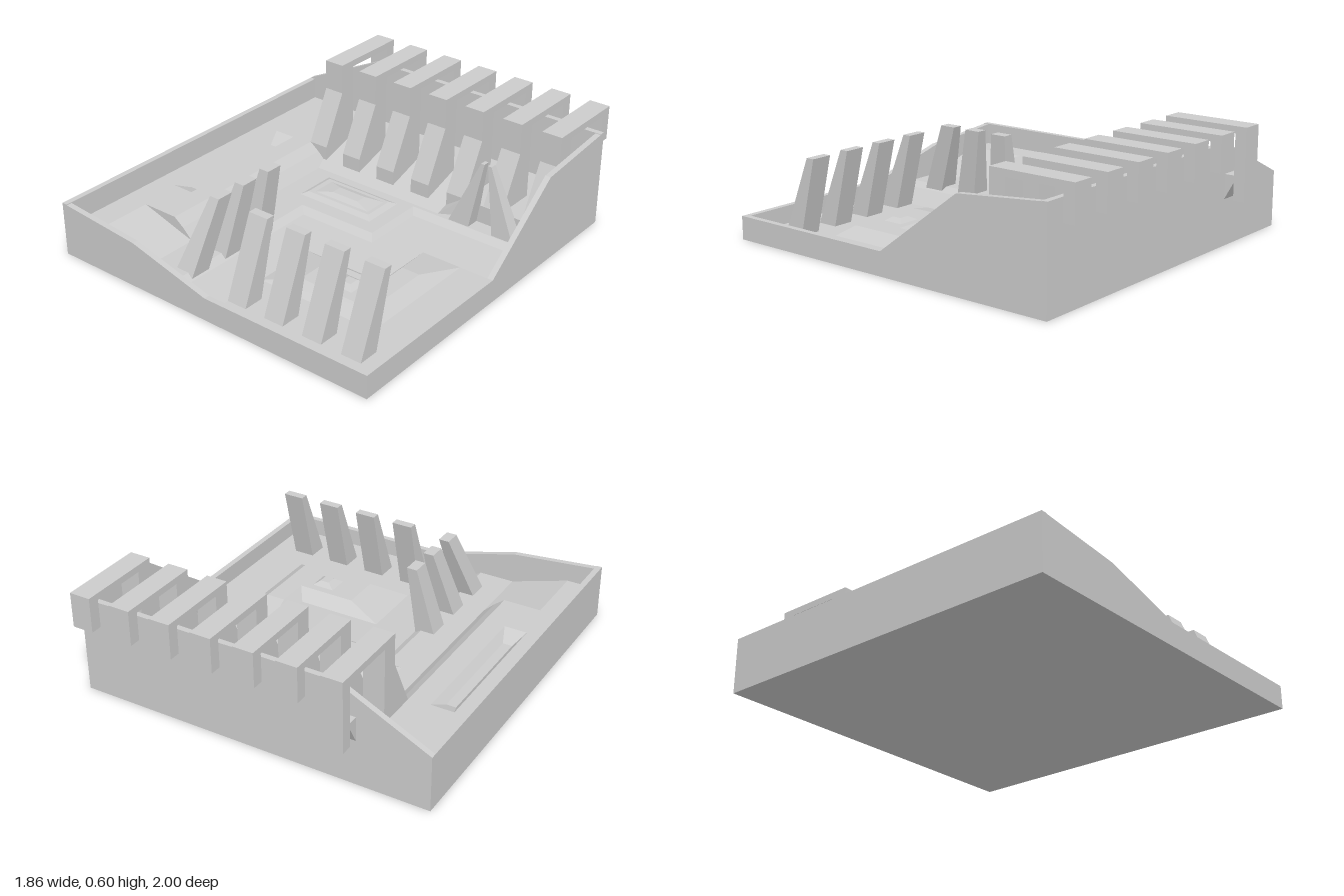
import * as THREE from 'three';

const mat = new THREE.MeshStandardMaterial({ color: 0xcccccc, flatShading: true });

function add(group, name, geo) {
  const mesh = new THREE.Mesh(geo, mat);
  mesh.name = name;
  group.add(mesh);
}

// Solid between two [x, z] outlines at heights y0 and y1
function loft(bottom, y0, top, y1) {
  const n = bottom.length;
  const b = bottom.map(([x, z]) => [x, y0, z]), t = top.map(([x, z]) => [x, y1, z]);
  const flat = r => r.map(p => new THREE.Vector2(p[0], -p[2]));
  if (THREE.ShapeUtils.area(flat(b)) < 0) { b.reverse(); t.reverse(); }
  const index = [];
  for (const [i, j, k] of THREE.ShapeUtils.triangulateShape(flat(t), [])) index.push(n + i, n + j, n + k);
  for (const [i, j, k] of THREE.ShapeUtils.triangulateShape(flat(b), [])) index.push(k, j, i);
  for (let i = 0; i < n; i++) {
    const j = (i + 1) % n;
    index.push(i, j, n + j, i, n + j, n + i);
  }
  const g = new THREE.BufferGeometry();
  g.setAttribute('position', new THREE.Float32BufferAttribute([...b, ...t].flat(), 3));
  g.setIndex(index);
  const out = g.toNonIndexed();
  out.computeVertexNormals();
  return out;
}

const rect = (x0, x1, z0, z1) => [[x0, z0], [x1, z0], [x1, z1], [x0, z1]];

const shapeOf = pts => new THREE.Shape(pts.map(p => new THREE.Vector2(...p)));

// [x, y] profile pushed from z0 to z1
function alongZ(pts, z0, z1) {
  return new THREE.ExtrudeGeometry(shapeOf(pts), { depth: z1 - z0, bevelEnabled: false }).translate(0, 0, z0);
}

// [z, y] profile pushed from x0 to x1
function alongX(pts, x0, x1) {
  return new THREE.ExtrudeGeometry(shapeOf(pts), { depth: x1 - x0, bevelEnabled: false })
    .rotateY(-Math.PI / 2).translate(x1, 0, 0);
}

export function createModel() {
  const model = new THREE.Group();
  model.name = 'terrainTray';
  // Heights of the plateau, groove floor, terrace, step and basin floor
  const high = 0.17, groove = 0.13, mid = 0.075, step = 0.05, low = 0.03;

  // Base slab and rim walls
  add(model, 'base', loft(rect(-0.93, 0.93, -0.89, 1), 0, rect(-0.93, 0.93, -0.89, 1), low));
  add(model, 'leftRim', alongX([[-0.89, 0], [1, 0], [1, 0.285], [-0.89, 0.285]], -0.93, -0.9));
  add(model, 'rightRim', alongX([[-0.89, 0], [1, 0], [1, 0.12], [0.06, 0.12], [-0.4, 0.465], [-0.89, 0.51]], 0.9, 0.93));
  add(model, 'frontRim', alongZ([[-0.93, 0], [0.93, 0], [0.93, 0.12], [0, 0.12], [-0.45, 0.24], [-0.93, 0.285]], 0.97, 1));
  add(model, 'backRim', alongZ([[-0.93, 0], [0.93, 0], [0.93, 0.51], [-0.46, 0.51], [-0.93, 0.285]], -0.89, -0.86));

  // Stepped terraces around the low basin
  const steps = (x0, z0, x1, z1) => [
    [-0.91, 0.98], [x0, 0.98], [x0, z0], [x1, z0], [x1, z1], [0.91, z1], [0.91, -0.87], [-0.91, -0.87]];
  add(model, 'basinSlope', loft(steps(0, 0.28, 0.45, -0.06), low, steps(-0.22, 0.05, 0.22, -0.29), step));
  add(model, 'terrace', loft(steps(-0.22, 0.05, 0.22, -0.29), step, steps(-0.26, 0.01, 0.19, -0.33), mid));

  // Angular mounds
  add(model, 'basinMound', loft(
    [[0, 0.28], [0.45, 0.28], [0.45, -0.06], [0.67, -0.06], [0.67, 0.62], [0, 0.62]], low,
    [[0.19, 0.35], [0.5, 0.35], [0.5, 0.18], [0.6, 0.18], [0.6, 0.55], [0.19, 0.55]], 0.08));
  add(model, 'smallMound', loft(rect(0.33, 0.45, 0.39, 0.5), 0.08, rect(0.37, 0.42, 0.42, 0.47), 0.1));
  add(model, 'terraceMound', loft(rect(-0.34, 0.11, -0.3, -0.07), mid, rect(-0.31, 0.08, -0.27, -0.1), mid + 0.015));
  add(model, 'terraceMoundTop', loft(rect(-0.28, 0.06, -0.25, -0.12), mid + 0.015, rect(-0.19, -0.03, -0.21, -0.15), mid + 0.03));

  // Left plateau: a slab, four pieces around a sloped groove, and a ramp at the front
  const slabTop = rect(-0.91, -0.507, -0.87, 0.62), outerTop = rect(-0.91, -0.56, -0.87, 0.62);
  const grooveFloor = rect(-0.755, -0.705, -0.31, 0.3), grooveTop = rect(-0.79, -0.67, -0.4, 0.39);
  add(model, 'leftPlateauSlab', loft(rect(-0.91, -0.45, -0.87, 0.62), mid, slabTop, groove));
  for (let i = 0; i < 4; i++) {
    const j = (i + 1) % 4;
    add(model, 'leftPlateau', loft(
      [slabTop[i], slabTop[j], grooveFloor[j], grooveFloor[i]], groove,
      [outerTop[i], outerTop[j], grooveTop[j], grooveTop[i]], high));
  }
  add(model, 'frontRamp', alongZ([[-0.91, low], [-0.45, low], [-0.45, mid], [-0.76, high], [-0.91, high]], 0.62, 0.98));

  // Back plateau: gentle slope on the left part, a sheer step on the right part
  add(model, 'backSlope', alongX([[-0.87, low], [-0.35, low], [-0.35, mid], [-0.65, high], [-0.87, high]], -0.56, 0.33));
  add(model, 'backStep', loft(
    [[0.33, -0.35], [0.44, -0.41], [0.91, -0.41], [0.91, -0.87], [0.33, -0.87]], mid,
    [[0.33, -0.65], [0.44, -0.41], [0.91, -0.41], [0.91, -0.87], [0.33, -0.87]], high));

  // Row of hooked ribs reaching over the back rim
  for (let i = 0; i < 7; i++) {
    const x = -0.56 + i * 0.2233, end = i === 0 ? 0.235 : 0.42;
    add(model, 'rib', alongX([
      [-1, end], [-0.94, end], [-0.94, 0.565], [-0.64, 0.565], [-0.64, 0.06], [-0.415, 0.06],
      [-0.415, high], [-0.55, 0.44], [-0.55, 0.6], [-1, 0.6]], x, x + 0.11));
  }
  add(model, 'ribBrace', alongX([[-0.89, 0.235], [-0.89, 0.36], [-0.94, 0.36], [-0.94, 0.325]], -0.56, -0.45));

  // Front row of spikes leaning back
  for (let i = 0; i < 4; i++) {
    const x = i * 0.2233;
    add(model, 'frontSpike', loft(rect(x, x + 0.11, 0.74, 0.85), low, rect(x, x + 0.11, 0.64, 0.685), 0.43));
  }

  // Side row of spikes leaning inward, fanning out toward the front
  [[0.28, 0.395, 0.255], [0.505, 0.62, 0.43], [0.735, 0.85, 0.6]].forEach(([z0, z1, zt]) => {
    add(model, 'sideSpike', loft(rect(-0.34, -0.23, z0, z1), 0.05, rect(-0.24, -0.185, zt, zt + 0.09), 0.43));
  });

  // Pair of spikes leaning toward each other at the foot of the step
  for (const s of [-1, 1]) {
    const c = 0.592, span = (a, b, z0, z1) => rect(c + s * a, c + s * b, z0, z1);
    add(model, 'stepSpike', loft(span(0.07, 0.19, -0.42, -0.335), 0.07, span(0.01, 0.03, -0.4, -0.365), 0.43));
  }

  return model;
}
